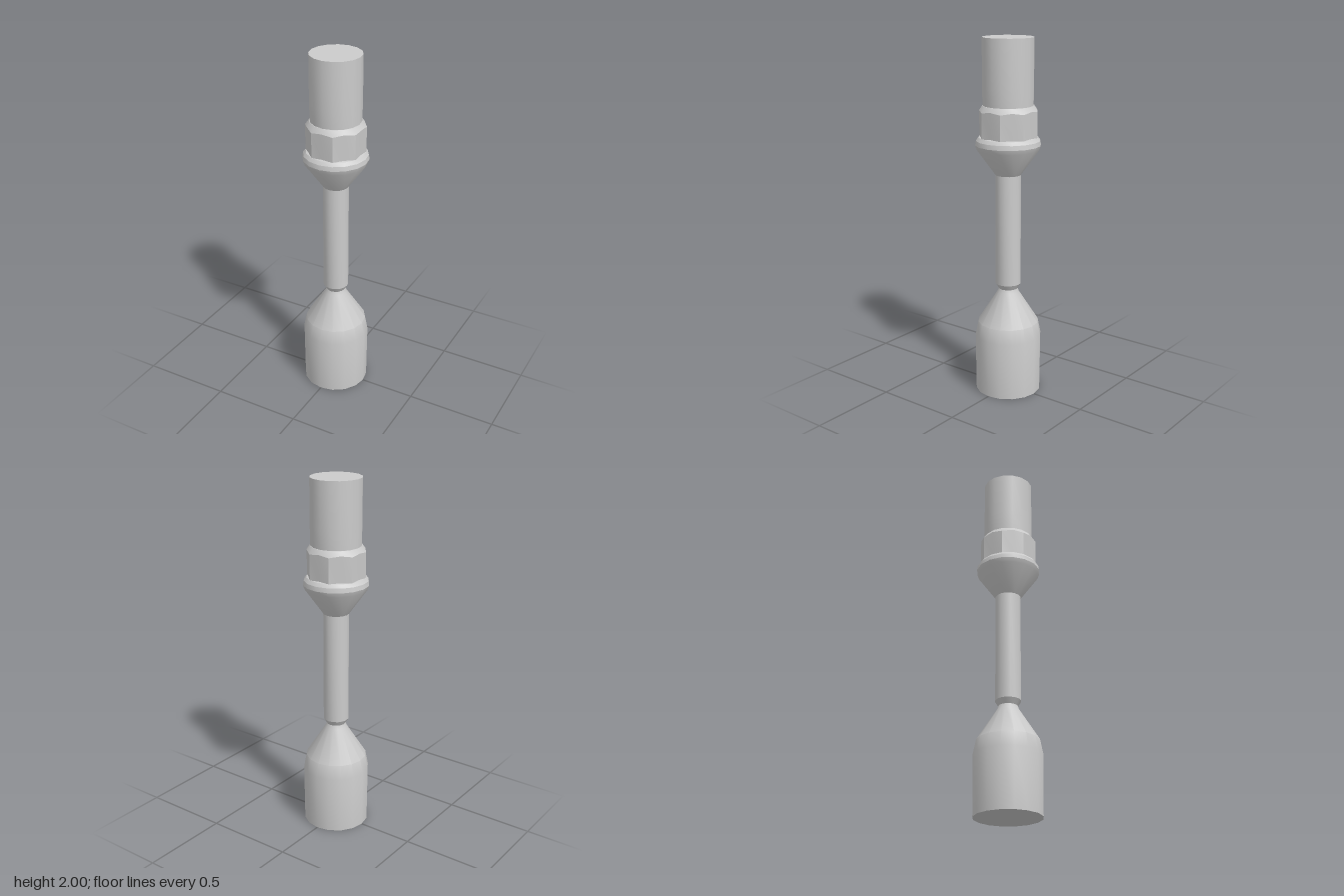
import * as THREE from 'three';
import { toCreasedNormals } from 'three/addons/utils/BufferGeometryUtils.js';

const SIDES = 16;
const CREASE = THREE.MathUtils.degToRad(28);

export function createModel() {
  const group = new THREE.Group();
  const material = new THREE.MeshStandardMaterial({ color: 0xcccccc });

  const lathe = (profile) =>
    new THREE.LatheGeometry(profile.map(([r, y]) => new THREE.Vector2(r, y)), SIDES);

  const add = (name, geometry) => {
    const mesh = new THREE.Mesh(toCreasedNormals(geometry, CREASE), material);
    mesh.name = name;
    group.add(mesh);
  };

  // Heavy foot with a rounded shoulder, tapering to a narrow neck
  add('base', lathe([
    [0, 0], [0.184, 0], [0.187, 0.33], [0.171, 0.41], [0.06, 0.585], [0.053, 0.605],
  ]));

  // Slim rod, chamfered where it meets the neck
  add('shaft', lathe([[0.053, 0.605], [0.071, 0.635], [0.071, 1.265]]));

  // Flared cone with a rounded rim
  add('collar', lathe([
    [0.071, 1.26], [0.171, 1.4], [0.18, 1.425], [0.176, 1.45], [0.162, 1.468], [0.135, 1.475],
  ]));

  // Eight-sided nut: every second column is a corner, the others are mid-flat
  const nut = lathe([[0.149, 1.465], [0.157, 1.617], [0.141, 1.64], [0.135, 1.64]]);
  const pos = nut.attributes.position;
  const rows = 4;
  for (let i = 1; i < SIDES; i += 2) {
    const angle = (i / SIDES) * Math.PI * 2;
    [[0.162, 1.465], [0.163, 1.608]].forEach(([r, y], row) =>
      pos.setXYZ(i * rows + row, r * Math.sin(angle), y, r * Math.cos(angle)));
  }
  add('nut', nut);

  // Plain cylindrical top
  add('cap', lathe([[0.138, 1.63], [0.14, 1.74], [0.14, 2], [0, 2]]));

  return group;
}
